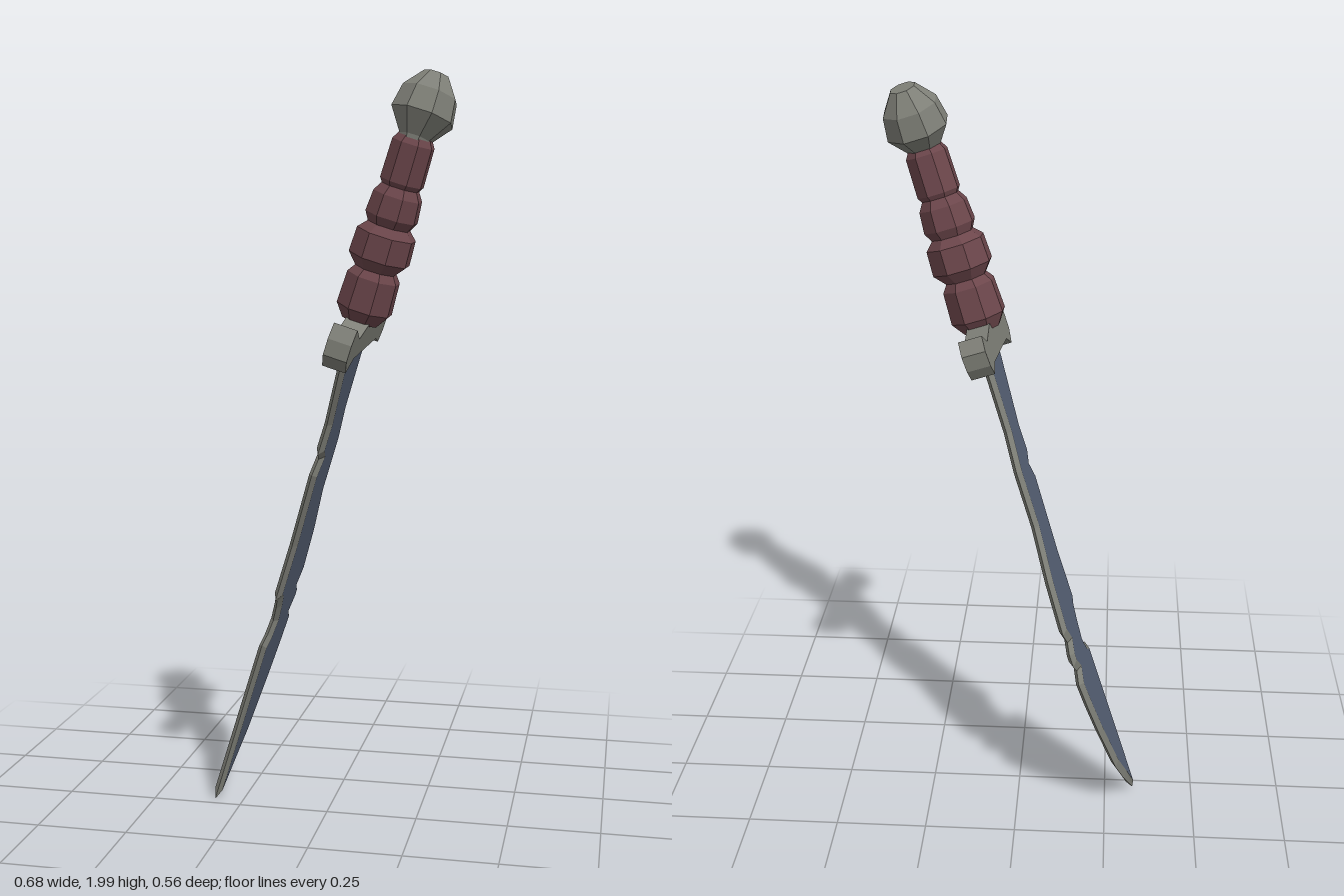
import * as THREE from 'three';

const TILT = 0.307;                       // lean of the whole weapon toward +x
const C = Math.cos(TILT);
const mat = (name, color) => Object.assign(new THREE.MeshStandardMaterial({ color }), { name });

// Faceted mesh: every triangle gets its own normal
function facet(name, geo, material) {
  const g = geo.index ? geo.toNonIndexed() : geo;
  g.computeVertexNormals();
  const m = new THREE.Mesh(g, material);
  m.name = name;
  return m;
}

// Eight-sided turned part from [radius, height] pairs
function turned(name, profile, material) {
  const pts = [[0, profile[0][1]], ...profile, [0, profile[profile.length - 1][1]]];
  return facet(name, new THREE.LatheGeometry(pts.map(p => new THREE.Vector2(...p)), 8, Math.PI / 8), material);
}

function fromTriangles(tris) {
  const g = new THREE.BufferGeometry();
  g.setAttribute('position', new THREE.Float32BufferAttribute(tris.flat(2), 3));
  return g;
}

// Points are [z, height]; the 2D plane runs along -z so the outline is counter-clockwise
const outline2D = pts => pts.map(([z, y]) => new THREE.Vector2(-z, y / C));

// Move each outline corner inward with a limited mitre
function inset(pts, d) {
  const n = pts.length;
  return pts.map((p, i) => {
    const a = p.clone().sub(pts[(i + n - 1) % n]).normalize();
    const b = pts[(i + 1) % n].clone().sub(p).normalize();
    const na = new THREE.Vector2(-a.y, a.x), nb = new THREE.Vector2(-b.y, b.x);
    const mid = na.clone().add(nb).normalize();
    return p.clone().addScaledVector(mid, d * Math.min(1.4, 1 / Math.max(0.1, mid.dot(na))));
  });
}

export function createModel() {
  const blue = mat('blade steel', 0x566075);
  const grey = mat('worn metal', 0x7f8078);
  const red = mat('grip leather', 0x6c464b);

  const model = new THREE.Group();
  model.name = 'curvedDagger';
  const body = new THREE.Group();
  body.name = 'taggedParts';
  body.name = 'tiltedDagger';
  body.rotation.z = -TILT;
  body.position.x = -0.333;
  model.add(body);

  // Chipped blade: flat blue sides with a ground grey edge all round
  const outer = outline2D([
    [0.182, 1.325], [0.172, 1.30], [0.077, 1.10], [0.074, 1.022], [0.04, 1.005], [0.066, 0.965],
    [0.022, 0.76], [0.013, 0.607], [-0.02, 0.597], [-0.04, 0.57], [-0.058, 0.53], [-0.04, 0.497],
    [0, 0.475], [-0.03, 0.008], [-0.105, 0.09], [-0.167, 0.172], [-0.23, 0.326], [-0.258, 0.42],
    [-0.275, 0.507], [-0.237, 0.527], [-0.264, 0.554], [-0.262, 0.59], [-0.232, 0.61], [-0.257, 0.645],
    [-0.22, 0.777], [-0.151, 0.905], [-0.135, 1.053], [-0.088, 1.143], [-0.06, 1.345],
  ]);
  const inner = inset(outer, 0.021);
  const faces = THREE.ShapeUtils.triangulateShape(inner, []);
  const sides = [], edges = [];
  for (const s of [1, -1]) {
    const flat = p => [s * 0.011, p.y, -p.x];
    const rim = p => [0, p.y, -p.x];
    const put = (list, a, b, c) => list.push(s > 0 ? [a, b, c] : [a, c, b]);
    for (const [i, j, k] of faces) put(sides, flat(inner[i]), flat(inner[j]), flat(inner[k]));
    outer.forEach((p, i) => {
      const j = (i + 1) % outer.length;
      put(edges, rim(p), rim(outer[j]), flat(inner[j]));
      put(edges, rim(p), flat(inner[j]), flat(inner[i]));
    });
  }
  body.add(facet('bladeSides', fromTriangles(sides), blue));
  body.add(facet('bladeEdge', fromTriangles(edges), grey));

  // Crossguard with flared ends
  const guardShape = new THREE.Shape(outline2D([
    [0.28, 1.335], [0.279, 1.295], [0.243, 1.265], [0.185, 1.297], [0.056, 1.313], [-0.083, 1.329],
    [-0.136, 1.316], [-0.157, 1.345], [-0.163, 1.385], [-0.142, 1.418], [-0.095, 1.387],
    [0.05, 1.40], [0.19, 1.347], [0.262, 1.373],
  ]));
  const guard = new THREE.ExtrudeGeometry(guardShape, { depth: 0.062, bevelEnabled: false });
  guard.translate(0, 0, -0.031).rotateY(Math.PI / 2);
  body.add(facet('crossguard', guard, grey));

  // Grip of four wrapped swellings
  const grip = turned('grip', [
    [0.05, 0], [0.075, 0.035], [0.071, 0.12], [0.056, 0.14], [0.082, 0.17], [0.079, 0.235],
    [0.057, 0.257], [0.07, 0.28], [0.065, 0.335], [0.05, 0.358], [0.058, 0.37], [0.056, 0.47], [0.04, 0.495],
  ], red);
  grip.position.set(0, 1.375 / C, 0.066);
  grip.rotation.x = 0.1;
  body.add(grip);

  // Faceted pommel, leaning back
  const pommel = turned('pommel', [
    [0.038, -0.015], [0.042, 0], [0.084, 0.055], [0.074, 0.115], [0.034, 0.166],
  ], grey);
  pommel.position.set(0, 1.833 / C, 0.12);
  pommel.rotation.x = -0.19;
  body.add(pommel);

  return model;
}
